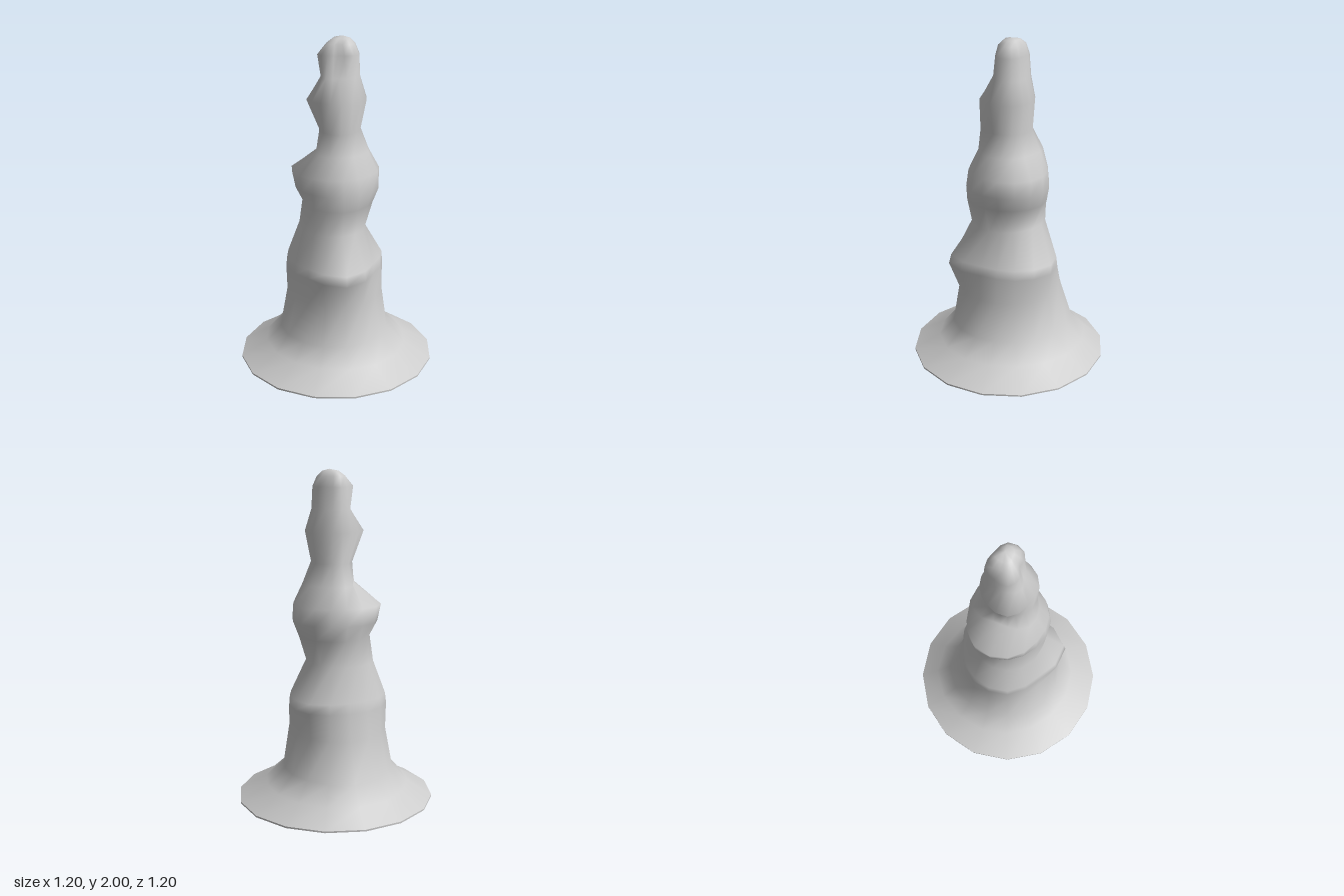
import * as THREE from 'three';

// Each row: height, then radii every 45 degrees, turning from +x towards +z.
const RINGS = [
  [0.01, 0.60, 0.60, 0.60, 0.60, 0.60, 0.60, 0.60, 0.60],
  [0.10, 0.43, 0.44, 0.44, 0.43, 0.44, 0.46, 0.49, 0.46],
  [0.20, 0.32, 0.33, 0.35, 0.35, 0.35, 0.36, 0.40, 0.35],
  [0.44, 0.285, 0.29, 0.31, 0.28, 0.305, 0.31, 0.325, 0.305],
  [0.60, 0.29, 0.275, 0.37, 0.29, 0.31, 0.31, 0.295, 0.32],
  [0.66, 0.285, 0.27, 0.355, 0.285, 0.305, 0.30, 0.28, 0.32],
  [0.86, 0.17, 0.19, 0.22, 0.23, 0.23, 0.23, 0.225, 0.18],
  [1.02, 0.225, 0.225, 0.25, 0.225, 0.20, 0.22, 0.23, 0.235],
  [1.11, 0.26, 0.255, 0.255, 0.235, 0.245, 0.26, 0.245, 0.255],
  [1.21, 0.26, 0.24, 0.24, 0.235, 0.265, 0.275, 0.235, 0.25],
  [1.33, 0.195, 0.19, 0.18, 0.17, 0.12, 0.12, 0.205, 0.175],
  [1.46, 0.145, 0.145, 0.165, 0.125, 0.10, 0.11, 0.14, 0.145],
  [1.64, 0.18, 0.175, 0.17, 0.155, 0.175, 0.155, 0.155, 0.16],
  [1.77, 0.14, 0.13, 0.08, 0.105, 0.09, 0.095, 0.13, 0.12],
  [1.90, 0.135, 0.12, 0.06, 0.085, 0.11, 0.10, 0.12, 0.11],
  [1.96, 0.11, 0.09, 0.05, 0.055, 0.06, 0.06, 0.10, 0.09],
];
const SIDES = 16;
const APEX = new THREE.Vector3(0.04, 2, -0.015);

// One ring of points; the radii between the listed directions follow a smooth curve
function ringPoints([y, ...r]) {
  return Array.from({ length: SIDES }, (_, j) => {
    const k = j >> 1, at = (n) => r[(n + 8) % 8];
    const radius = j % 2 ? (9 * (at(k) + at(k + 1)) - at(k - 1) - at(k + 2)) / 16 : at(k);
    const a = (j / SIDES) * Math.PI * 2;
    return new THREE.Vector3(radius * Math.cos(a), y, radius * Math.sin(a));
  });
}

// Lumpy tower skinned over the rings, with a rounded tip
function towerGeometry() {
  const rings = RINGS.map(ringPoints);
  const last = rings[rings.length - 1];
  rings.push(last.map((p) => {
    const q = p.clone().lerp(APEX, 0.4);
    q.y = 1.988;
    return q;
  }));
  const points = [...rings.flat(), APEX];
  const index = [];
  for (let i = 0; i < rings.length; i++) {
    for (let j = 0; j < SIDES; j++) {
      const a = i * SIDES + j, b = i * SIDES + (j + 1) % SIDES;
      if (i === rings.length - 1) index.push(a, points.length - 1, b);
      else index.push(a, a + SIDES, b, b, a + SIDES, b + SIDES);
    }
  }
  const geometry = new THREE.BufferGeometry().setFromPoints(points);
  geometry.setIndex(index);
  geometry.computeVertexNormals();
  return geometry;
}

export function createModel() {
  const group = new THREE.Group();
  group.name = 'lumpySpire';
  const material = new THREE.MeshStandardMaterial({ color: 0xcccccc });

  const tower = new THREE.Mesh(towerGeometry(), material);
  tower.name = 'tower';

  // Thin rim and flat underside
  const rim = new THREE.Mesh(new THREE.CylinderGeometry(0.6, 0.6, 0.01, SIDES, 1, true), material);
  rim.name = 'baseRim';
  rim.position.y = 0.005;
  const underside = new THREE.Mesh(new THREE.CircleGeometry(0.6, SIDES), material);
  underside.name = 'underside';
  underside.rotation.x = Math.PI / 2;

  group.add(tower, rim, underside);
  return group;
}
